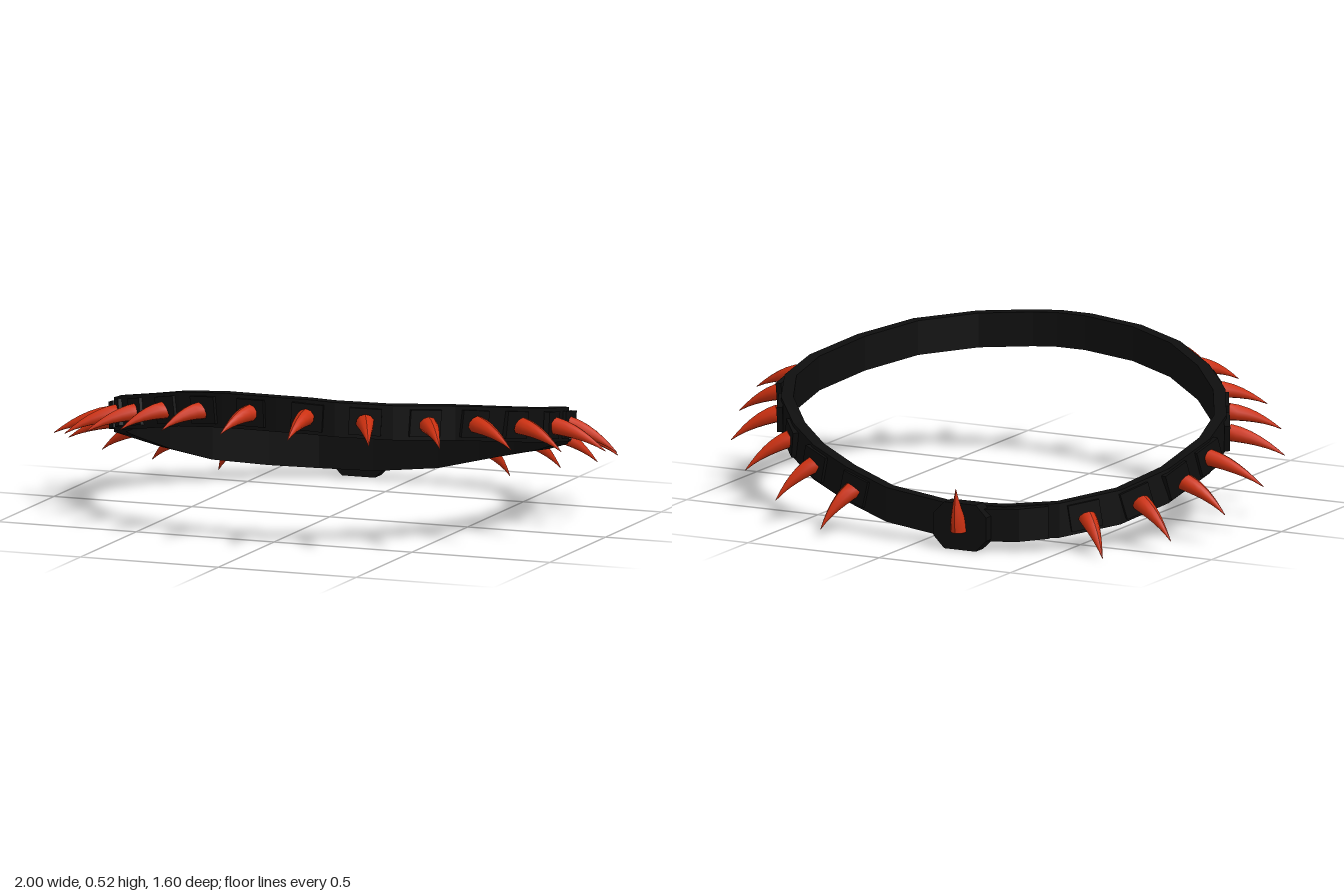
import * as THREE from 'three';

const UP = new THREE.Vector3(0, 1, 0);
const v = (p) => new THREE.Vector3(...p);

// Centre line of the tilted band, from the front round by the left side
const RING = [
  [0.17, 0.465, 0.605], [0.26, 0.46, 0.595], [0.44, 0.45, 0.53], [0.6, 0.435, 0.385],
  [0.71, 0.405, 0.2], [0.775, 0.37, -0.01], [0.765, 0.34, -0.2], [0.7, 0.3, -0.345],
  [0.58, 0.25, -0.485], [0.45, 0.21, -0.59], [0.29, 0.165, -0.66], [0.12, 0.12, -0.7],
  [-0.12, 0.092, -0.71], [-0.31, 0.095, -0.675], [-0.47, 0.107, -0.6], [-0.62, 0.14, -0.455],
  [-0.72, 0.195, -0.31], [-0.77, 0.265, -0.12], [-0.74, 0.31, 0.05], [-0.645, 0.355, 0.22],
  [-0.505, 0.395, 0.37], [-0.335, 0.435, 0.485], [-0.15, 0.457, 0.56], [0.06, 0.465, 0.605],
].map(v);

// Spikes: base x, base z, tip x, tip z
const SPIKES = [
  [0.26, -0.7, 0.33, -0.8], [0.45, -0.62, 0.55, -0.71], [0.61, -0.49, 0.74, -0.57],
  [0.73, -0.35, 0.88, -0.41], [0.79, -0.19, 0.96, -0.2], [0.81, -0.02, 1, 0.0],
  [0.77, 0.18, 0.94, 0.25], [0.67, 0.34, 0.83, 0.43], [0.56, 0.5, 0.65, 0.62],
  [0.37, 0.6, 0.44, 0.74], [0.17, 0.63, 0.17, 0.8], [-0.04, 0.61, -0.09, 0.76],
  [-0.24, 0.57, -0.33, 0.69], [-0.41, 0.48, -0.52, 0.59], [-0.56, 0.34, -0.7, 0.46],
  [-0.69, 0.2, -0.84, 0.3], [-0.77, 0.06, -0.96, 0.1], [-0.79, -0.13, -1, -0.13],
  [-0.79, -0.29, -0.95, -0.31], [-0.7, -0.44, -0.85, -0.51], [-0.57, -0.58, -0.67, -0.66],
];

// Sweeps an upright rectangular section along a path
function strapGeometry(path, thick, height, closed) {
  const n = path.length;
  const rings = path.map((p, i) => {
    const a = closed ? path[(i + n - 1) % n] : path[Math.max(i - 1, 0)];
    const b = closed ? path[(i + 1) % n] : path[Math.min(i + 1, n - 1)];
    const out = b.clone().sub(a).setY(0).normalize().cross(UP);
    return [[1, -1], [1, 1], [-1, 1], [-1, -1]].map(([o, u]) =>
      p.clone().addScaledVector(out, o * thick / 2).addScaledVector(UP, u * height / 2));
  });
  const pos = [];
  const quad = (a, b, c, d) => [a, b, c, a, c, d].forEach((q) => pos.push(q.x, q.y, q.z));
  for (let i = 0; i < (closed ? n : n - 1); i++) {
    const r = rings[i], s = rings[(i + 1) % n];
    for (let k = 0; k < 4; k++) quad(r[k], s[k], s[(k + 1) % 4], r[(k + 1) % 4]);
  }
  if (!closed) {
    quad(...rings[0]);
    quad(...[...rings[n - 1]].reverse());
  }
  const g = new THREE.BufferGeometry();
  g.setAttribute('position', new THREE.Float32BufferAttribute(pos, 3));
  g.computeVertexNormals();
  return g;
}

// Nearest place on the band, with its tangent and outward direction
function onRing(x, z) {
  let best = null;
  RING.forEach((a, i) => {
    const b = RING[(i + 1) % RING.length];
    const t = THREE.MathUtils.clamp(
      ((x - a.x) * (b.x - a.x) + (z - a.z) * (b.z - a.z)) / ((b.x - a.x) ** 2 + (b.z - a.z) ** 2), 0, 1);
    const point = a.clone().lerp(b, t);
    const d = Math.hypot(point.x - x, point.z - z);
    if (!best || d < best.d) best = { d, point, tangent: b.clone().sub(a).normalize() };
  });
  best.out = best.tangent.clone().setY(0).normalize().cross(UP);
  return best;
}

// Claw-like cone from base to tip, arched towards the given side
function spikeGeometry(base, tip, arch, radius, bend) {
  const dir = tip.clone().sub(base);
  const len = dir.length();
  dir.normalize();
  const g = new THREE.CylinderGeometry(0.001, radius, len, 10, 6).translate(0, len / 2, 0);
  const p = g.attributes.position;
  for (let i = 0; i < p.count; i++) {
    const t = p.getY(i) / len;
    const swell = 1 + 0.6 * t * (1 - t);
    p.setXYZ(i, p.getX(i) * swell, p.getY(i), p.getZ(i) * swell + bend * 4 * t * (1 - t));
  }
  g.computeVertexNormals();
  const side = new THREE.Vector3().crossVectors(dir, arch).normalize();
  const top = new THREE.Vector3().crossVectors(side, dir);
  return g.applyMatrix4(new THREE.Matrix4().makeBasis(side, dir, top).setPosition(base));
}

export function createModel() {
  const black = new THREE.MeshStandardMaterial({ color: 0x0e0e0e });
  black.name = 'black leather';
  const red = new THREE.MeshStandardMaterial({ color: 0xcb3010 });
  red.name = 'red spike';

  const model = new THREE.Group();
  model.name = 'spikedCollar';
  const add = (name, geometry, material) => {
    const mesh = new THREE.Mesh(geometry, material);
    mesh.name = name;
    model.add(mesh);
    return mesh;
  };

  // Band
  add('band', strapGeometry(RING, 0.042, 0.118, true), black);

  // Raised plates, each with a drooping spike
  for (const [bx, bz, tx, tz] of SPIKES) {
    const { point, tangent, out } = onRing(bx, bz);
    const up = out.clone().cross(tangent).normalize();
    const plate = new THREE.BoxGeometry(0.11, 0.092, 0.02).applyMatrix4(
      new THREE.Matrix4().makeBasis(tangent, up, out)
        .setPosition(point.clone().addScaledVector(out, 0.022)));
    add('spikePlate', plate, black);

    const drop = 0.07 - (bz > 0 ? 0.03 : 0.08) * bz;
    const base = new THREE.Vector3(bx, point.y, bz).addScaledVector(out, -0.005);
    const tip = new THREE.Vector3(tx, point.y - drop, tz);
    add('spike', spikeGeometry(base, tip, UP, 0.031, 0.012), red);
  }

  // Overlapping strap end at the back
  const flap = [[-0.1, 0.092, -0.735], [-0.26, 0.092, -0.722], [-0.37, 0.097, -0.69], [-0.45, 0.105, -0.637]];
  add('strapEnd', strapGeometry(flap.map(v), 0.04, 0.112, false), black);

  // Buckle: plate with cut corners, wrapped round the strap
  const w = 0.1, h = 0.08, c = 0.04;
  const outline = new THREE.Shape([
    [-w, -h + c], [-w + c, -h], [w - c, -h], [w, -h + c],
    [w, h - c], [w - c, h], [-w + c, h], [-w, h - c],
  ].map(([x, y]) => new THREE.Vector2(x, y)));
  const buckle = add('buckle', new THREE.ExtrudeGeometry(outline, { depth: 0.055, bevelEnabled: false }), black);
  buckle.position.set(-0.185, 0.085, -0.77);

  // Upright spike on the buckle
  add('buckleSpike', spikeGeometry(v([-0.18, 0.07, -0.765]), v([-0.18, 0.217, -0.79]),
    new THREE.Vector3(0, 0, -1), 0.03, 0.004), red);

  return model;
}
